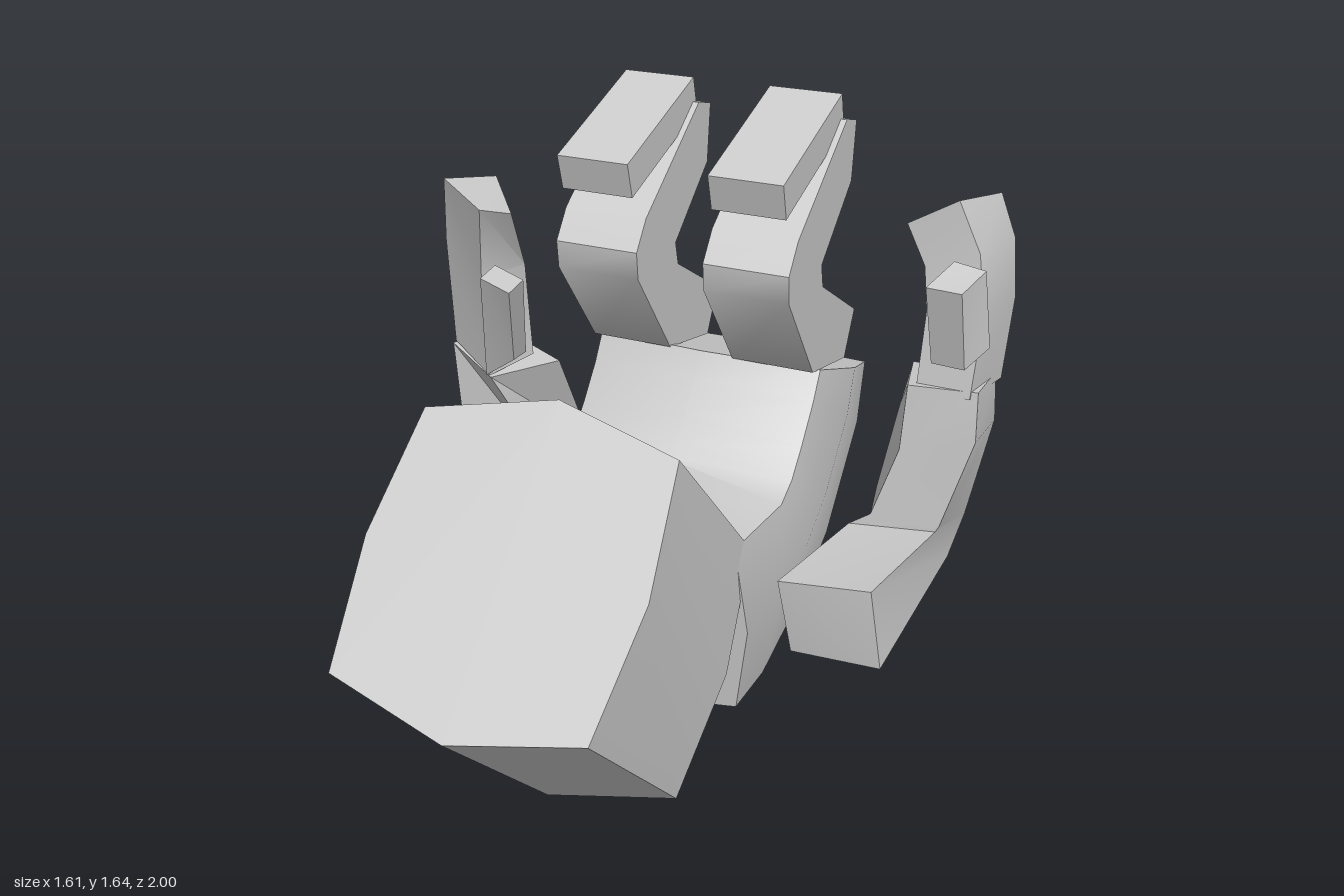
import * as THREE from 'three';
import { toCreasedNormals } from 'three/addons/utils/BufferGeometryUtils.js';

const material = new THREE.MeshStandardMaterial({ color: 0xcccccc });
const CX = -0.01; // centre of head and trunk

// Closed solid through rings of equal point count, flipped if inside out
function loft(rings) {
  const n = rings[0].length;
  const index = [];
  for (let r = 0; r < rings.length - 1; r++) {
    for (let i = 0; i < n; i++) {
      const a = r * n + i, b = r * n + (i + 1) % n;
      index.push(a, b, b + n, a, b + n, a + n);
    }
  }
  const last = (rings.length - 1) * n;
  for (let i = 1; i < n - 1; i++) {
    index.push(0, i + 1, i, last, last + i, last + i + 1);
  }
  const pts = rings.flat().map((p) => new THREE.Vector3(...p));
  let volume = 0;
  for (let i = 0; i < index.length; i += 3) {
    const [a, b, c] = [0, 1, 2].map((k) => pts[index[i + k]]);
    volume += a.dot(b.clone().cross(c));
  }
  if (volume < 0) index.reverse();
  const geo = new THREE.BufferGeometry().setFromPoints(pts);
  geo.setIndex(index);
  return toCreasedNormals(geo, 0.6);
}

// Bulged eight-sided ring between two points given as [z, y]
function octagon([z0, y0], [z1, y1]) {
  const outline = [[0, 0], [0.345, 0.1], [0.38, 0.5], [0.345, 0.9],
    [0, 1], [-0.345, 0.9], [-0.38, 0.5], [-0.345, 0.1]];
  return outline.map(([x, t]) => [CX + x, y0 + (y1 - y0) * t, z0 + (z1 - z0) * t]);
}

function profileSolid(points, width) {
  const shape = new THREE.Shape(points.map(([z, y]) => new THREE.Vector2(z, y)));
  const geo = new THREE.ExtrudeGeometry(shape, { depth: width, bevelEnabled: false });
  geo.translate(0, 0, -width / 2).rotateY(-Math.PI / 2);
  return toCreasedNormals(geo, 0.75);
}

export function createModel() {
  const model = new THREE.Group();
  const add = (name, geo, parent = model) => {
    const mesh = new THREE.Mesh(geo, material);
    mesh.name = name;
    parent.add(mesh);
  };

  // Tilted head
  add('head', loft([
    octagon([0.4, 1.1], [1.0, 0.48]),
    octagon([-0.08, 0.62], [0.51, 0.0]),
  ]));

  // Curled trunk: inner point, outer point from neck to hips
  add('trunk', loft([
    [[0.1, 0.68], [0.045, 0.03]],
    [[-0.26, 0.645], [-0.14, 0.025]],
    [[-0.31, 0.68], [-0.45, 0.11]],
    [[-0.36, 0.75], [-0.7, 0.24]],
    [[-0.42, 0.83], [-0.96, 0.53]],
    [[-0.47, 0.9], [-1.0, 0.73]],
  ].map(([a, b]) => octagon(a, b))));

  // Folded legs with feet on top
  const legProfile = [[-0.76, 0.83], [-0.48, 0.89], [-0.26, 1.17], [-0.25, 1.25],
    [-0.31, 1.33], [-0.66, 1.57], [-0.745, 1.55], [-0.73, 1.38], [-0.51, 1.2],
    [-0.53, 1.13], [-0.83, 0.96]];
  const footProfile = [[-0.26, 1.4], [-0.23, 1.5], [-0.66, 1.64], [-0.69, 1.54]];
  for (const side of [-1, 1]) {
    const leg = new THREE.Group();
    leg.name = side > 0 ? 'leftLeg' : 'rightLeg';
    leg.position.x = -0.015 + side * 0.22;
    add('thighAndShin', profileSolid(legProfile, 0.245), leg);
    add('foot', profileSolid(footProfile, 0.21), leg);
    model.add(leg);
  }

  // Arms; each ring runs inner front, outer front, outer back, inner back
  add('leftArm', loft([
    [[0.39, 0.435, -0.09], [0.66, 0.48, -0.07], [0.7, 0.25, -0.07], [0.43, 0.21, -0.11]],
    [[0.46, 0.44, -0.48], [0.71, 0.46, -0.5], [0.71, 0.29, -0.68], [0.46, 0.21, -0.6]],
    [[0.52, 0.48, -0.49], [0.72, 0.48, -0.5], [0.73, 0.4, -0.76], [0.46, 0.44, -0.74]],
    [[0.59, 0.7, -0.49], [0.8, 0.76, -0.5], [0.79, 0.72, -0.76], [0.51, 0.72, -0.75]],
    [[0.6, 0.9, -0.49], [0.79, 0.9, -0.52], [0.78, 0.87, -0.76], [0.54, 0.86, -0.75]],
  ]));
  add('leftHand', loft([
    [[0.615, 0.87, -0.52], [0.77, 0.88, -0.51], [0.79, 0.84, -0.79], [0.65, 0.84, -0.8]],
    [[0.62, 1.1, -0.55], [0.78, 1.12, -0.54], [0.8, 1.08, -0.82], [0.67, 1.08, -0.83]],
    [[0.6, 1.22, -0.57], [0.75, 1.28, -0.56], [0.78, 1.25, -0.83], [0.64, 1.2, -0.83]],
    [[0.54, 1.33, -0.58], [0.68, 1.415, -0.57], [0.73, 1.37, -0.835], [0.59, 1.3, -0.83]],
  ]));
  add('leftThumb', loft([
    [[0.665, 0.985, -0.47], [0.76, 0.985, -0.46], [0.8, 1.02, -0.56], [0.7, 1.01, -0.56]],
    [[0.65, 1.22, -0.41], [0.75, 1.22, -0.4], [0.78, 1.25, -0.52], [0.69, 1.26, -0.53]],
  ]));

  add('rightArm', loft([
    [[-0.41, 0.445, -0.09], [-0.66, 0.48, -0.07], [-0.71, 0.25, -0.07], [-0.45, 0.21, -0.1]],
    [[-0.46, 0.45, -0.4], [-0.74, 0.47, -0.38], [-0.72, 0.28, -0.56], [-0.5, 0.22, -0.6]],
    [[-0.46, 0.48, -0.37], [-0.76, 0.46, -0.38], [-0.66, 0.42, -0.72], [-0.5, 0.42, -0.71]],
    [[-0.58, 0.8, -0.24], [-0.79, 0.82, -0.38], [-0.74, 0.83, -0.55], [-0.48, 0.78, -0.48]],
  ]));
  add('rightHand', loft([
    [[-0.59, 0.8, -0.25], [-0.78, 0.83, -0.38], [-0.72, 0.83, -0.54], [-0.53, 0.82, -0.41]],
    [[-0.61, 1.1, -0.26], [-0.81, 1.14, -0.4], [-0.74, 1.1, -0.55], [-0.55, 1.1, -0.41]],
    [[-0.56, 1.33, -0.18], [-0.77, 1.35, -0.34], [-0.68, 1.33, -0.485], [-0.51, 1.3, -0.27]],
  ]));
  add('rightThumb', loft([
    [[-0.5, 0.87, -0.24], [-0.6, 0.8, -0.25], [-0.61, 0.8, -0.33], [-0.51, 0.86, -0.33]],
    [[-0.44, 1.125, -0.12], [-0.53, 1.155, -0.12], [-0.54, 1.16, -0.22], [-0.45, 1.13, -0.22]],
  ]));

  return model;
}
